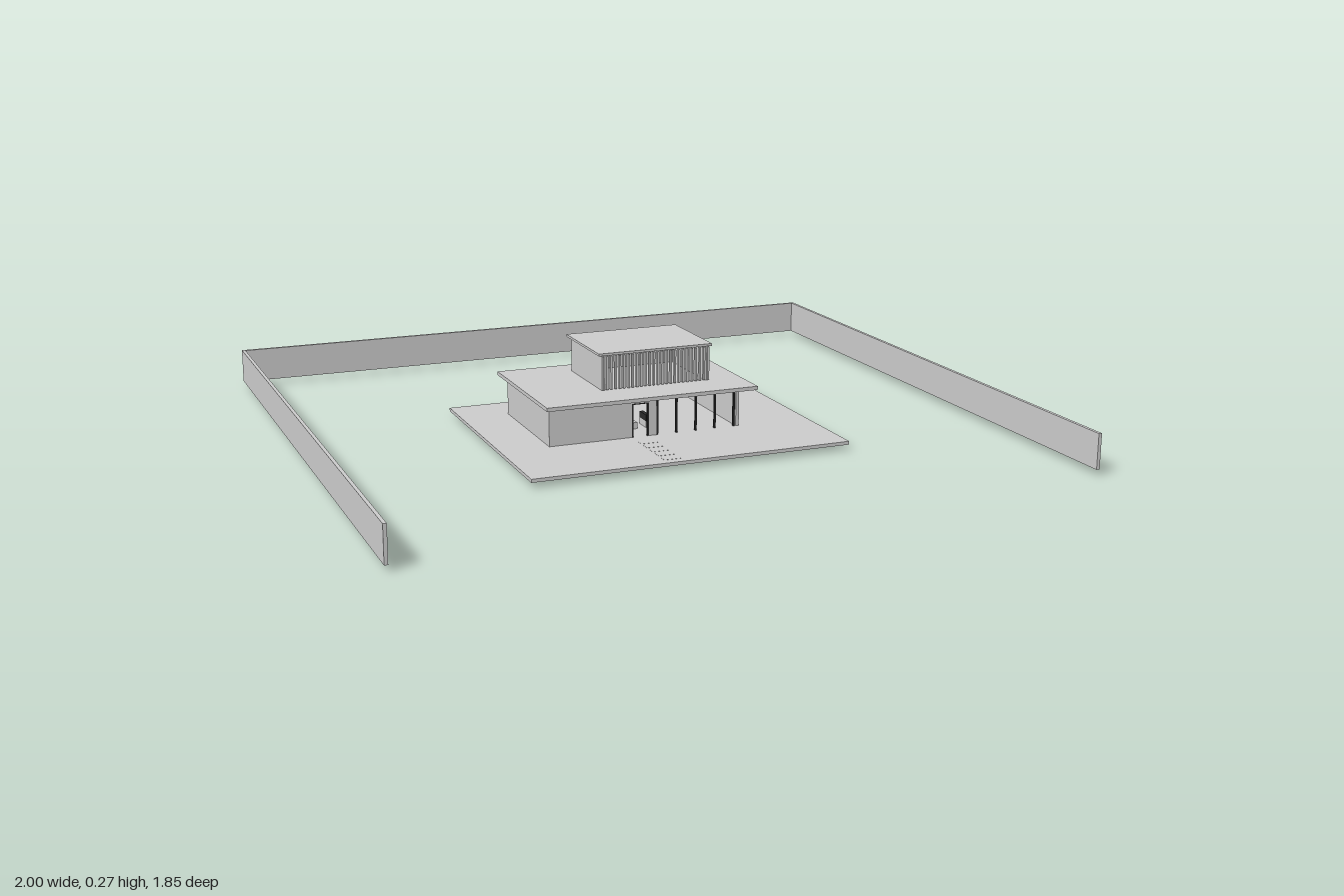
import * as THREE from 'three';

const plaster = new THREE.MeshStandardMaterial({ name: 'plaster', color: 0xcccccc });
const frameDark = new THREE.MeshStandardMaterial({ name: 'darkFrame', color: 0x2a2a2a });
const poolTeal = new THREE.MeshStandardMaterial({ name: 'poolTeal', color: 0x8ac4be });

// Box given by its limits on each axis
function box(parent, name, [x0, x1], [y0, y1], [z0, z1], material = plaster) {
  const mesh = new THREE.Mesh(new THREE.BoxGeometry(x1 - x0, y1 - y0, z1 - z0), material);
  mesh.position.set((x0 + x1) / 2, (y0 + y1) / 2, (z0 + z1) / 2);
  mesh.name = name;
  parent.add(mesh);
  return mesh;
}

function group(parent, name) {
  const g = new THREE.Group();
  g.name = name;
  parent.add(g);
  return g;
}

// Back and side walls of a storey, open at the front
function shell(parent, [x0, x1], y, [z0, z1], t) {
  box(parent, 'backWall', [x0, x1], y, [z0, z0 + t]);
  box(parent, 'rightWall', [x0, x0 + t], y, [z0 + t, z1]);
  box(parent, 'leftWall', [x1 - t, x1], y, [z0 + t, z1]);
}

export function createModel() {
  const model = new THREE.Group();
  model.name = 'house';

  // Boundary wall on three sides
  const fence = group(model, 'boundaryWall');
  const fenceY = [0.016, 0.119];
  box(fence, 'boundaryBack', [-1, 1], fenceY, [-0.925, -0.915]);
  for (const s of [-1, 1]) {
    box(fence, 'boundarySide', s < 0 ? [-1, -0.99] : [0.99, 1], fenceY, [-0.915, 0.925]);
  }

  // Terrace with sunken pool and stepping stones
  box(model, 'terrace', [-0.48, 0.48], [0.016, 0.026], [-0.317, 0.458]);
  box(model, 'pool', [0.045, 0.345], [0, 0.02], [0.26, 0.36], poolTeal);
  const path = group(model, 'steppingStones');
  for (let i = 0; i < 5; i++) {
    const z = 0.235 + i * 0.042;
    box(path, 'steppingStone', [-0.083, -0.03], [0.022, 0.0265], [z, z + 0.028]);
  }

  // Ground floor: shell, front wall pieces around the openings, roof
  const ground = group(model, 'groundFloor');
  const y0 = 0.026, y1 = 0.145, zf = 0.19, t = 0.01;
  shell(ground, [-0.335, 0.257], [y0, y1], [-0.187, zf], t);
  const front = [zf - t, zf];
  box(ground, 'frontWall', [-0.325, -0.083], [y0, y1], front);
  box(ground, 'frontPier', [-0.03, -0.006], [y0, y1], front);
  box(ground, 'doorLintel', [-0.083, -0.03], [0.126, y1], front);
  box(ground, 'windowLintel', [-0.006, 0.247], [0.136, y1], front);
  box(ground, 'lowerRoof', [-0.36, 0.29], [y1, 0.156], [-0.205, 0.246]);

  // Slim dark frames in the door and window openings
  const frames = group(ground, 'frames');
  const frameZ = [zf - 0.006, zf + 0.001];
  const post = (x, top) => box(frames, 'framePost', [x - 0.0025, x + 0.0025], [y0, top], frameZ, frameDark);
  post(-0.0805, 0.126);
  post(-0.0325, 0.126);
  box(frames, 'doorHead', [-0.083, -0.03], [0.123, 0.126], frameZ, frameDark);
  for (let i = 0; i < 5; i++) post(-0.0035 + i * 0.061, 0.136);
  box(frames, 'windowHead', [-0.006, 0.243], [0.133, 0.136], frameZ, frameDark);

  // Low seats inside, behind the openings
  const seats = group(ground, 'seats');
  for (const [x, w] of [[-0.078, 0.045], [-0.006, 0.025]]) {
    box(seats, 'seatBase', [x, x + w], [y0, 0.045], [0.06, 0.11]);
    box(seats, 'seatBack', [x, x + 0.012], [0.045, 0.064], [0.06, 0.11], frameDark);
  }

  // Upper floor: open-fronted shell, slatted screen, roof
  const upper = group(model, 'upperFloor');
  shell(upper, [-0.15, 0.186], [0.156, 0.26], [-0.13, 0.124], t);
  const screen = group(upper, 'slatScreen');
  const slats = 26;
  for (let i = 0; i < slats; i++) {
    const x = -0.148 + (i * 0.332) / (slats - 1);
    box(screen, 'slat', [x - 0.003, x + 0.003], [0.158, 0.258], [0.12, 0.13]);
  }
  box(upper, 'upperRoof', [-0.161, 0.195], [0.26, 0.267], [-0.144, 0.13]);

  return model;
}
